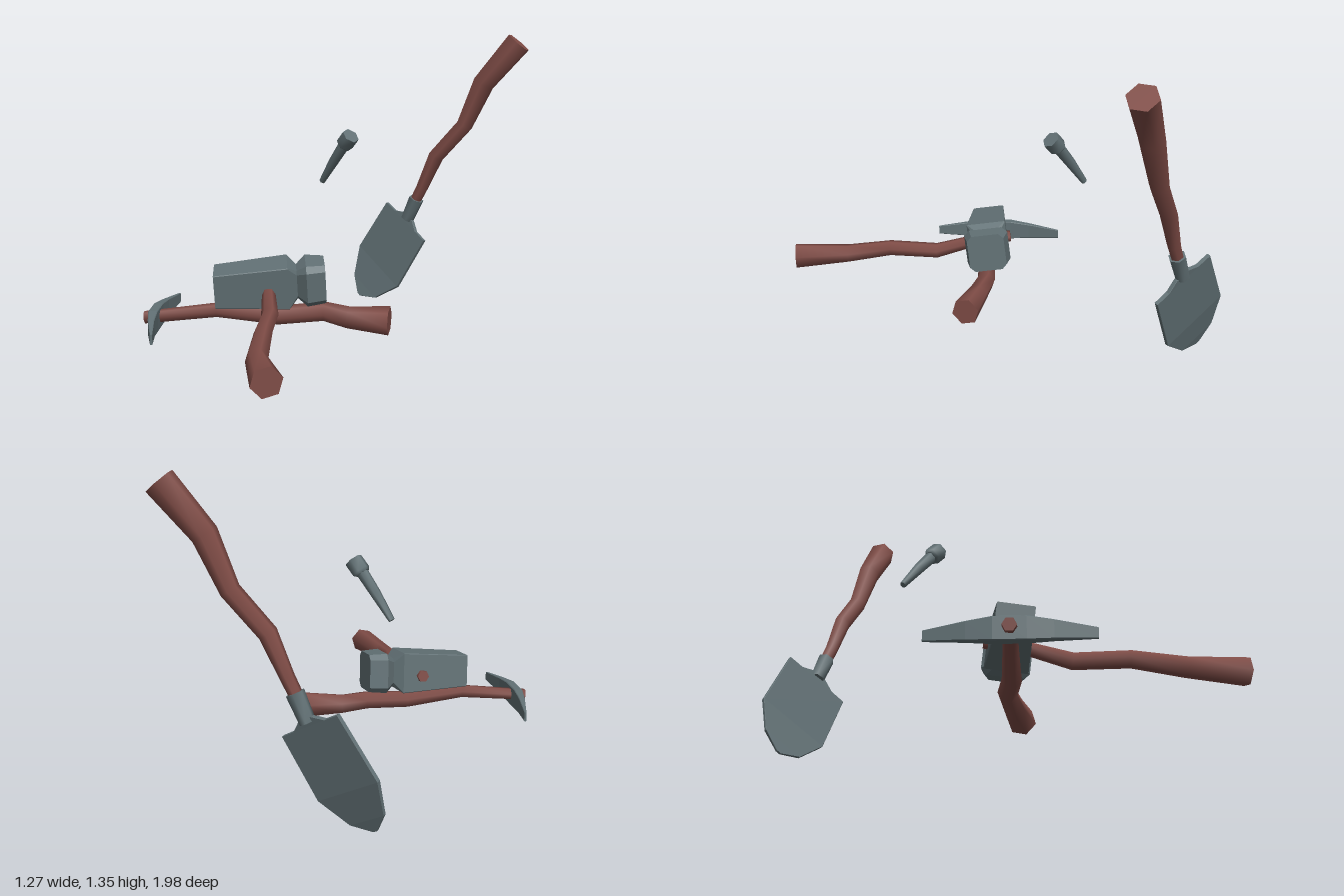
import * as THREE from 'three';

const V3 = (a) => new THREE.Vector3(a[0], a[1], a[2]);

// Skin a list of equal-sized rings and close both ends with flat caps
function loft(rings, flat) {
  const n = rings[0].length, last = rings.length - 1;
  const pos = [], idx = [];
  rings.forEach((ring) => ring.forEach((p) => pos.push(p.x, p.y, p.z)));
  for (let i = 0; i < last; i++) {
    for (let j = 0; j < n; j++) {
      const a = i * n + j, b = i * n + (j + 1) % n;
      idx.push(a, b, b + n, a, b + n, a + n);
    }
  }
  for (const [ring, isEnd] of [[rings[0], false], [rings[last], true]]) {
    const base = pos.length / 3;
    ring.forEach((p) => pos.push(p.x, p.y, p.z));
    for (let j = 1; j < n - 1; j++) {
      if (isEnd) idx.push(base, base + j, base + j + 1);
      else idx.push(base, base + j + 1, base + j);
    }
  }
  let geo = new THREE.BufferGeometry();
  geo.setAttribute('position', new THREE.Float32BufferAttribute(pos, 3));
  geo.setIndex(idx);
  if (flat) geo = geo.toNonIndexed();
  geo.computeVertexNormals();
  return geo;
}

// Six-sided rod through points [x, y, z, radius]
function rod(points, sides = 6) {
  const c = points.map(V3);
  const rings = points.map((p, i) => {
    const t = c[Math.min(i + 1, c.length - 1)].clone().sub(c[Math.max(i - 1, 0)]).normalize();
    const u = new THREE.Vector3(0, 0.25, 1).cross(t).normalize();
    const v = t.clone().cross(u);
    return Array.from({ length: sides }, (_, j) => {
      const a = (j / sides) * Math.PI * 2;
      return c[i].clone().addScaledVector(u, Math.cos(a) * p[3]).addScaledVector(v, Math.sin(a) * p[3]);
    });
  });
  return loft(rings, false);
}

// Bar of chamfered rectangles: stations are [along, offsetU, halfU, halfV, chamfer, offsetV]
function bar(origin, along, across, stations) {
  const o = V3(origin), t = V3(along).normalize(), u = V3(across);
  u.addScaledVector(t, -u.dot(t)).normalize();
  const v = t.clone().cross(u);
  const rings = stations.map(([s, du, hu, hv, ch = 0.003, dv = 0]) => {
    const a = hu - ch, b = hv - ch;
    return [[hu, -b], [hu, b], [a, hv], [-a, hv], [-hu, b], [-hu, -b], [-a, -hv], [a, -hv]].map(([x, y]) =>
      o.clone().addScaledVector(t, s).addScaledVector(u, x + du).addScaledVector(v, y + dv));
  });
  return loft(rings, true);
}

export function createModel() {
  const metal = new THREE.MeshStandardMaterial({ name: 'grey metal', color: 0x627175 });
  const wood = new THREE.MeshStandardMaterial({ name: 'red brown wood', color: 0x7f4c46 });
  const model = new THREE.Group();
  const tool = (name, parts) => {
    const group = new THREE.Group();
    group.name = name;
    for (const [part, geo, mat] of parts) {
      const mesh = new THREE.Mesh(geo, mat);
      mesh.name = part;
      group.add(mesh);
    }
    model.add(group);
  };

  // Shovel standing upright at the back
  tool('shovel', [
    ['shovelHandle', rod([
      [-0.30, 0.49, -0.71, 0.027], [-0.247, 0.595, -0.725, 0.03], [-0.18, 0.755, -0.75, 0.039],
      [-0.055, 0.915, -0.815, 0.041], [0.03, 1.12, -0.85, 0.054], [0.168, 1.315, -0.935, 0.064],
    ]), wood],
    ['shovelSocket', rod([[-0.328, 0.425, -0.705, 0.033], [-0.278, 0.535, -0.717, 0.038]]), metal],
    ['shovelBlade', bar([-0.315, 0.45, -0.71], [-0.478, -0.853, 0.21], [0.87, -0.475, 0.06], [
      [0.012, 0, 0.037, 0.009, 0.002, 0], [0.042, 0, 0.09, 0.009, 0.002, 0],
      [0.043, 0, 0.16, 0.009, 0.002, 0], [0.33, 0, 0.168, 0.009, 0.002, -0.008],
      [0.465, 0, 0.095, 0.007, 0.002, 0], [0.52, 0, 0.012, 0.005, 0.002, 0.006],
    ]), metal],
  ]);

  // Floating nail
  tool('nail', [
    ['nailShank', rod([
      [-0.145, 0.88, -0.113, 0.027], [-0.222, 0.79, -0.113, 0.023], [-0.303, 0.688, -0.113, 0.014],
    ]), metal],
    ['nailHead', rod([
      [-0.155, 0.867, -0.113, 0.03], [-0.148, 0.875, -0.113, 0.04], [-0.108, 0.917, -0.113, 0.04],
    ]), metal],
  ]);

  // Hammer with a widening block, a neck and a blunt peen
  tool('hammer', [
    ['hammerHandle', rod([
      [-0.205, 0.322, 0.295, 0.027], [-0.05, 0.293, 0.41, 0.029], [0.075, 0.25, 0.505, 0.036],
      [0.235, 0.252, 0.665, 0.037], [0.385, 0.213, 0.815, 0.044], [0.6, 0.212, 0.94, 0.061],
    ]), wood],
    ['hammerHead', bar([-0.262, 0.312, 0.534], [0.62, 0.05, -0.78], [0.79, -0.12, 0.61], [
      [0, 0, 0.074, 0.073], [0.312, 0, 0.09, 0.092], [0.35, 0, 0.057, 0.062, 0.015],
      [0.39, 0, 0.1, 0.09, 0.025], [0.47, 0, 0.084, 0.085, 0.022],
    ]), metal],
  ]);

  // Pickaxe lying under the hammer
  tool('pickaxe', [
    ['pickaxeHandle', rod([
      [-0.485, 0.17, 0.745, 0.027], [-0.27, 0.205, 0.52, 0.031], [-0.09, 0.182, 0.33, 0.04],
      [0.03, 0.195, 0.175, 0.042], [0.12, 0.175, 0.115, 0.047], [0.265, 0.17, 0.01, 0.062],
    ]), wood],
    ['pickaxeHead', bar([-0.42, 0.17, 0.678], [0.44, -0.005, 0.435], [0.7, 0, -0.71], [
      [-0.31, 0, 0.005, 0.021, 0.002], [-0.155, -0.032, 0.014, 0.037], [-0.06, -0.044, 0.02, 0.046],
      [0.06, -0.044, 0.02, 0.046], [0.155, -0.032, 0.014, 0.037], [0.31, 0, 0.005, 0.021, 0.002],
    ]), metal],
  ]);

  return model;
}
